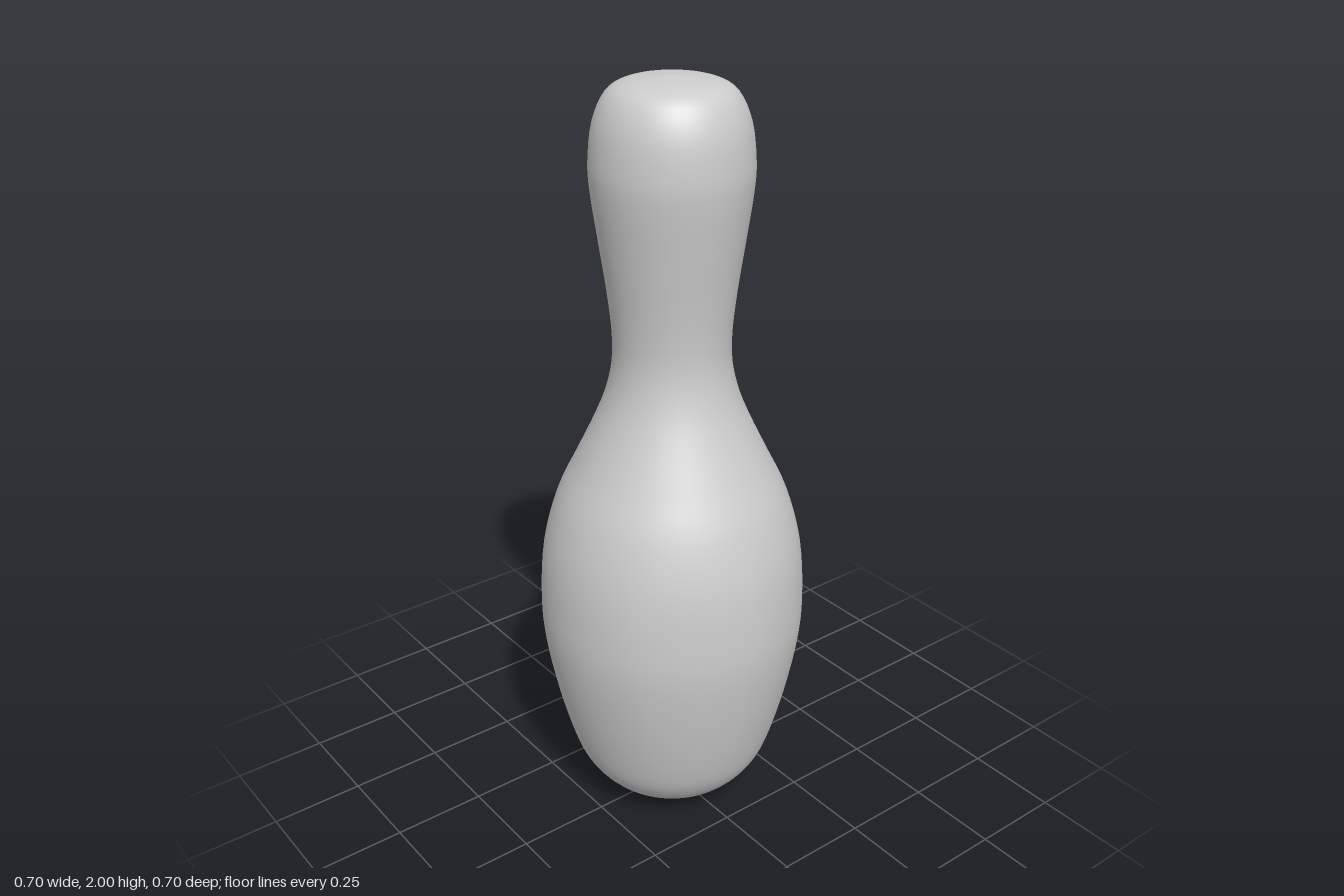
import * as THREE from 'three';

export function createModel() {
  const group = new THREE.Group();
  const grey = new THREE.MeshStandardMaterial({ color: 0xcccccc });
  grey.name = 'light grey';

  // Silhouette from foot to crown: radius, height
  const profile = [
    [0.09, 0], [0.14, 0.03], [0.2, 0.068], [0.25, 0.13], [0.282, 0.21],
    [0.318, 0.35], [0.345, 0.5], [0.352, 0.62], [0.34, 0.78], [0.302, 0.92],
    [0.25, 1.03], [0.202, 1.13], [0.17, 1.21], [0.152, 1.29], [0.15, 1.37],
    [0.161, 1.48], [0.181, 1.62], [0.196, 1.73], [0.199, 1.8], [0.188, 1.89],
    [0.158, 1.957], [0.115, 1.985], [0.05, 1.996], [0, 2],
  ].map(([r, y]) => new THREE.Vector2(r, y));
  const points = new THREE.SplineCurve(profile).getPoints(92);
  points.forEach((p) => { p.x = Math.max(p.x, 0); });

  // Turned body, neck and head in one smooth surface
  const body = new THREE.Mesh(new THREE.LatheGeometry(points, 96), grey);
  body.name = 'pinBody';
  group.add(body);

  // Flat disc closing the foot
  const foot = new THREE.Mesh(new THREE.CircleGeometry(0.09, 96).rotateX(Math.PI / 2), grey);
  foot.name = 'footDisc';
  group.add(foot);

  return group;
}
